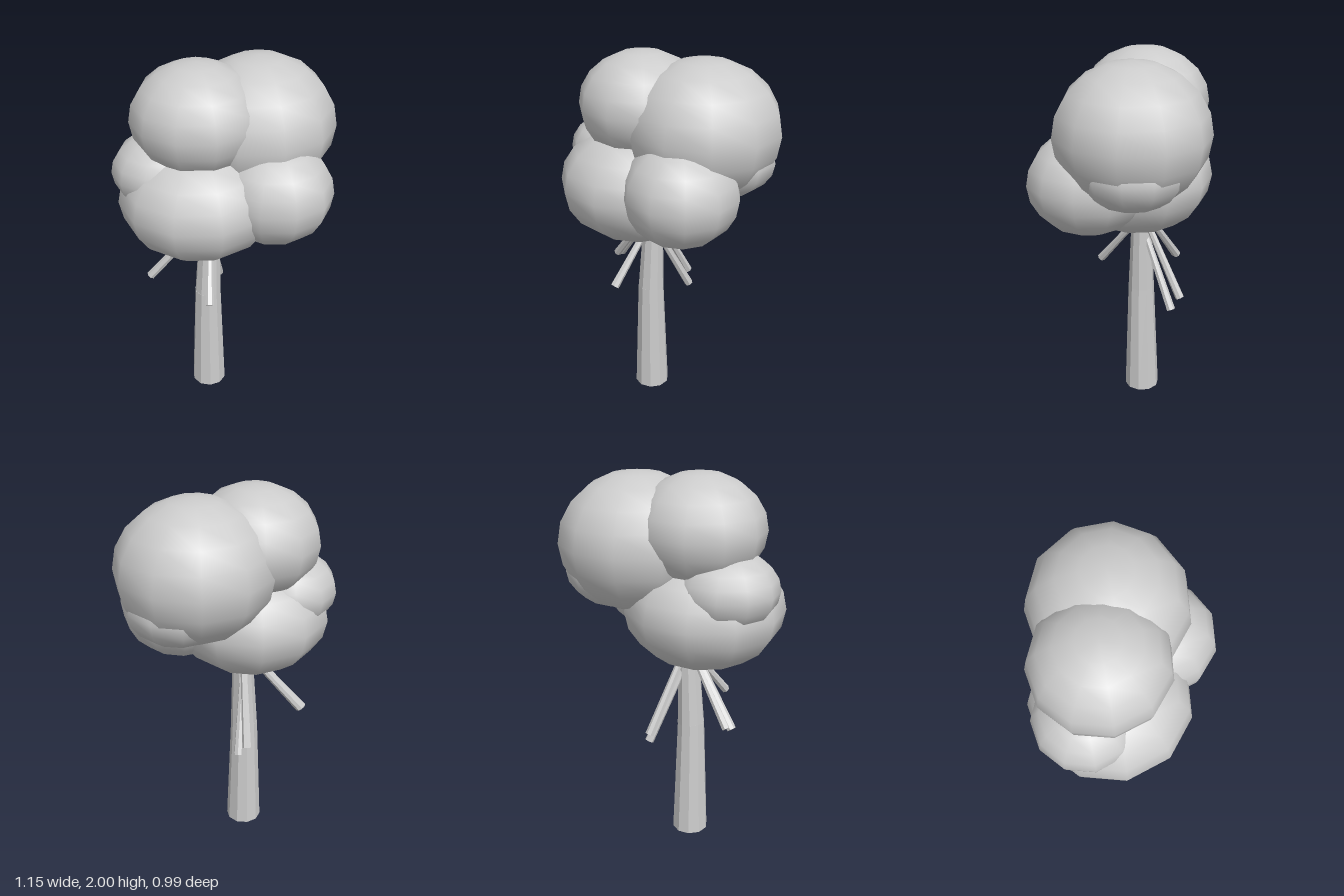
import * as THREE from 'three';

const grey = new THREE.MeshStandardMaterial({ color: 0xcccccc });
grey.name = 'pale grey';

function add(parent, name, geometry) {
  const mesh = new THREE.Mesh(geometry, grey);
  mesh.name = name;
  parent.add(mesh);
  return mesh;
}

// Faceted tapered cylinder running between two points
function limb(parent, name, from, to, rFrom, rTo, sides) {
  const a = new THREE.Vector3(...from), b = new THREE.Vector3(...to);
  const dir = b.clone().sub(a);
  const geometry = new THREE.CylinderGeometry(rTo, rFrom, dir.length(), sides).toNonIndexed();
  geometry.computeVertexNormals();
  const mesh = add(parent, name, geometry);
  mesh.quaternion.setFromUnitVectors(new THREE.Vector3(0, 1, 0), dir.normalize());
  mesh.position.copy(a).add(b).multiplyScalar(0.5);
}

// Smooth, slightly squashed leaf cluster
function leafCluster(parent, name, centre, radii) {
  const geometry = new THREE.SphereGeometry(1, 11, 10);
  geometry.scale(...radii);
  add(parent, name, geometry).position.set(...centre);
}

export function createModel() {
  const tree = new THREE.Group();
  tree.name = 'tree';

  // Trunk: straight base and a slightly leaning upper part
  limb(tree, 'lowerTrunk', [-0.115, 0, -0.13], [-0.115, 0.665, -0.12], 0.098, 0.073, 10);
  limb(tree, 'upperTrunk', [-0.114, 0.66, -0.12], [-0.09, 1.3, -0.112], 0.073, 0.045, 10);

  // Thin limbs drooping out of the crown
  const branches = new THREE.Group();
  branches.name = 'branches';
  tree.add(branches);
  [
    [[-0.1, 1.04, -0.12], [0.095, 0.605, -0.26]],
    [[-0.1, 1.13, -0.115], [0.085, 0.67, -0.31]],
    [[-0.1, 1.14, -0.12], [-0.34, 0.745, -0.35]],
    [[-0.1, 1.12, -0.13], [-0.315, 0.75, -0.355]],
    [[-0.1, 1.09, -0.11], [-0.29, 0.76, 0.095]],
  ].forEach(([from, to], i) => limb(branches, `branch${i + 1}`, from, to, 0.016, 0.024, 7));

  // Crown of overlapping leaf clusters: name, centre, radii
  const crown = new THREE.Group();
  crown.name = 'crown';
  tree.add(crown);
  [
    ['upperLeftCluster', [0.17, 1.63, -0.03], [0.405, 0.355, 0.395]],
    ['upperRightCluster', [-0.15, 1.72, -0.13], [0.333, 0.28, 0.335]],
    ['lowerRightCluster', [-0.177, 1.31, -0.095], [0.415, 0.31, 0.41]],
    ['lowerFrontCluster', [0.075, 1.36, 0.18], [0.302, 0.273, 0.317]],
    ['smallBackCluster', [-0.29, 1.45, -0.235], [0.265, 0.2, 0.26]],
    ['smallLeftCluster', [0.27, 1.48, -0.02], [0.278, 0.195, 0.27]],
  ].forEach((cluster) => leafCluster(crown, ...cluster));

  return tree;
}
